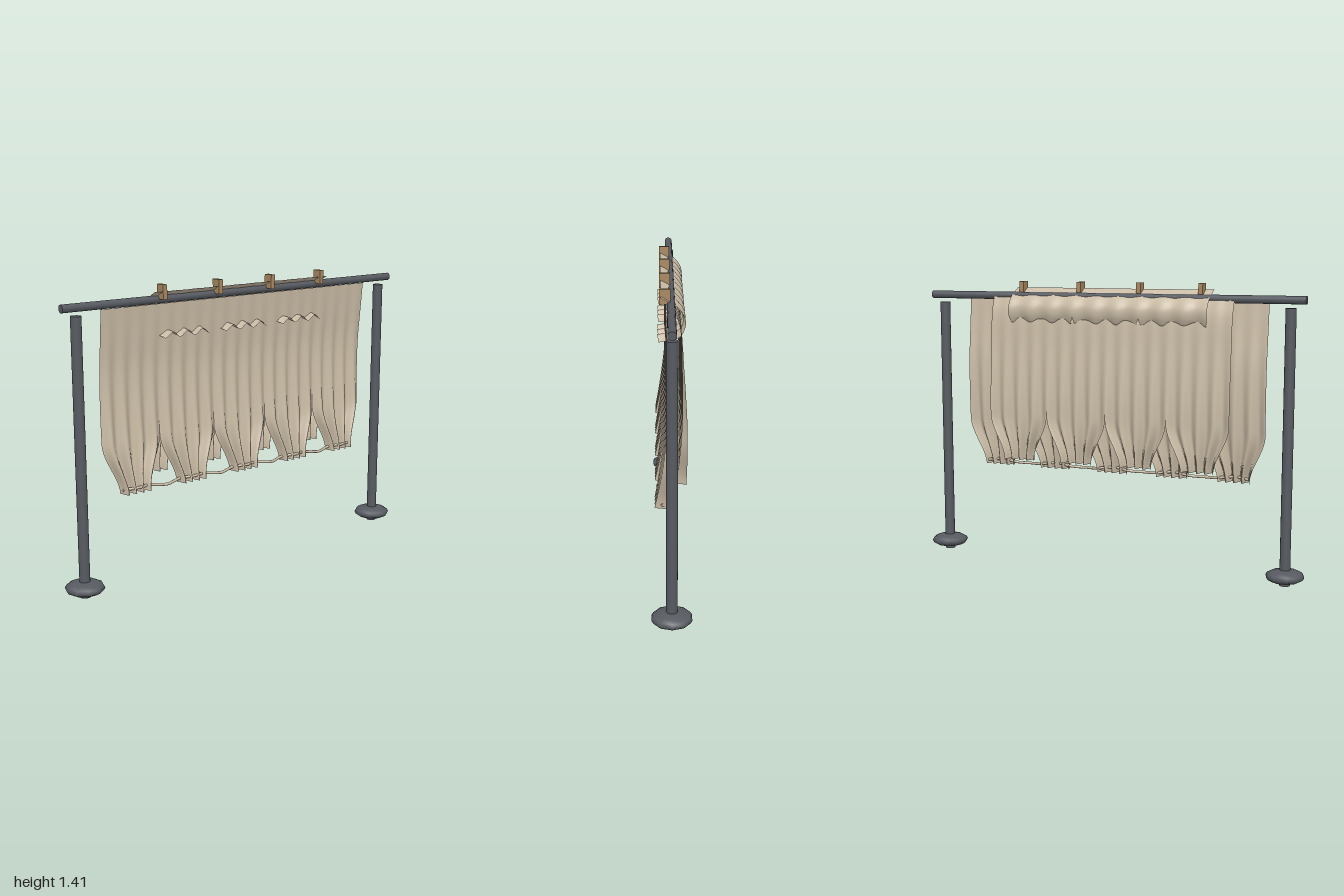
import * as THREE from 'three';

const steel = new THREE.MeshStandardMaterial({ color: 0x565a60 });
steel.name = 'dark steel';
const linen = new THREE.MeshStandardMaterial({ color: 0xcabca6, side: THREE.DoubleSide });
linen.name = 'linen';
const wood = new THREE.MeshStandardMaterial({ color: 0xa98860 });
wood.name = 'peg wood';

const smooth = THREE.MathUtils.smoothstep;

function add(parent, name, geometry, material, x = 0, y = 0, z = 0) {
  const mesh = new THREE.Mesh(geometry, material);
  mesh.name = name;
  mesh.position.set(x, y, z);
  parent.add(mesh);
  return mesh;
}

// Pleated cloth panel: hangs along a [z, y] profile, ripples across it and
// gathers towards its lower hem.
function clothPanel({ width, profile, pleats, ripple, gather, gatherStart }) {
  const cols = pleats * 12, rows = 40;
  const curve = new THREE.CatmullRomCurve3(profile.map(([z, y]) => new THREE.Vector3(0, y, z)));
  const geometry = new THREE.PlaneGeometry(1, 1, cols, rows);
  const pos = geometry.attributes.position;
  for (let j = 0; j <= rows; j++) {
    const t = j / rows;
    const p = curve.getPointAt(t), d = curve.getTangentAt(t);
    const w = width * (1 - (1 - gather) * smooth(t, gatherStart, 1.0));
    const amp = ripple(t);
    for (let i = 0; i <= cols; i++) {
      const u = i / cols;
      const wave = -amp * Math.cos(u * pleats * Math.PI * 2);
      // offset along the profile's normal, keeping the hem level
      const lift = wave * d.z * (Math.abs(d.z) > 0.5 ? 1 : 0);
      pos.setXYZ(j * (cols + 1) + i, (u - 0.5) * w, p.y + lift, p.z - wave * d.y);
    }
  }
  geometry.computeVertexNormals();
  return geometry;
}

export function createModel() {
  const model = new THREE.Group();
  model.name = 'curtainStand';

  // Frame: two posts on domed feet, carrying one rail
  for (const side of [-1, 1]) {
    const name = side > 0 ? 'left' : 'right';
    add(model, name + 'Post', new THREE.CylinderGeometry(0.025, 0.025, 1.3, 20), steel, side * 0.907, 0.65, 0);
    const foot = add(model, name + 'Foot', new THREE.SphereGeometry(0.093, 10, 8), steel, side * 0.907, 0.045, 0);
    foot.scale.y = 0.36;
  }
  const rail = add(model, 'rail', new THREE.CylinderGeometry(0.019, 0.019, 1.955, 16), steel, -0.002, 1.337, 0);
  rail.rotation.z = Math.PI / 2;

  // Front curtain: five panels
  const front = new THREE.Group();
  front.name = 'frontCurtain';
  model.add(front);
  const frontPanel = clothPanel({
    width: 0.314, pleats: 4, gather: 0.5, gatherStart: 0.72,
    profile: [[0.03, 1.322], [0.02, 1.2], [0.007, 1.02], [0.012, 0.8], [0.028, 0.62], [0.05, 0.465]],
    ripple: t => 0.001 + 0.024 * Math.pow(t, 1.6),
  });
  for (let k = 0; k < 5; k++) add(front, 'frontPanel' + (k + 1), frontPanel, linen, -0.642 + k * 0.314);

  // Back curtain: four panels, staggered behind the gaps
  const back = new THREE.Group();
  back.name = 'backCurtain';
  model.add(back);
  const backPanel = clothPanel({
    width: 0.314, pleats: 4, gather: 0.52, gatherStart: 0.72,
    profile: [[-0.018, 1.33], [-0.04, 1.26], [-0.052, 1.08], [-0.06, 0.83], [-0.055, 0.65], [-0.047, 0.515]],
    ripple: t => 0.001 + 0.022 * Math.pow(t, 1.6),
  });
  for (let k = 0; k < 4; k++) add(back, 'backPanel' + (k + 1), backPanel, linen, -0.488 + k * 0.314);

  // Valance: three panels draped over the rail, curling forward at the hem
  const valance = new THREE.Group();
  valance.name = 'valance';
  model.add(valance);
  const valancePanel = clothPanel({
    width: 0.345, pleats: 3, gather: 0.72, gatherStart: 0.55,
    profile: [[0.046, 1.377], [0.01, 1.357], [-0.03, 1.33], [-0.058, 1.285], [-0.053, 1.235],
      [-0.03, 1.203], [0.01, 1.187], [0.058, 1.178]],
    ripple: t => 0.0005 + 0.0135 * Math.pow(t, 1.5),
  });
  for (let k = 0; k < 3; k++) add(valance, 'valancePanel' + (k + 1), valancePanel, linen, -0.354 + k * 0.345);

  // Pegs clamped above the rail
  for (let k = 0; k < 4; k++) {
    add(model, 'peg' + (k + 1), new THREE.BoxGeometry(0.022, 0.068, 0.05), wood, -0.473 + k * 0.313, 1.374, 0.026);
  }

  // Tie cord weaving through the gathered front hems
  const cordPoints = [];
  for (let i = 0; i <= 36; i++) {
    const x = -0.715 + 1.405 * i / 36;
    const phase = (x + 0.642) / 0.314 * Math.PI * 2;
    cordPoints.push(new THREE.Vector3(x, 0.483 + 0.006 * Math.cos(phase), 0.05 + 0.012 * Math.cos(phase * 2)));
  }
  add(model, 'tieCord', new THREE.TubeGeometry(new THREE.CatmullRomCurve3(cordPoints), 120, 0.007, 8), linen);

  return model;
}
